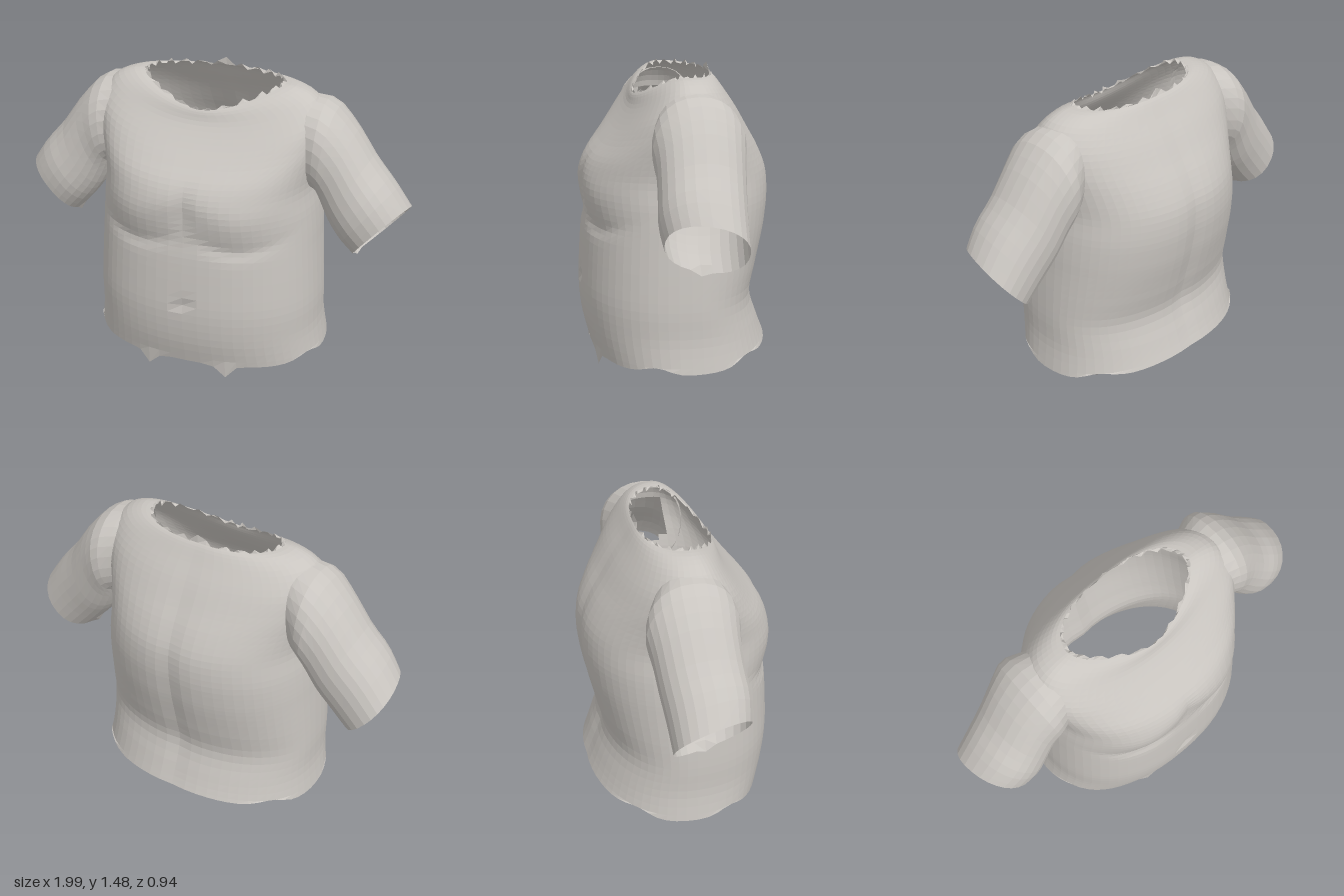
import * as THREE from 'three';

const SEG = 64;
const fabric = new THREE.MeshStandardMaterial({ color: 0xc9c5c0, flatShading: true, side: THREE.DoubleSide });
fabric.name = 'warm grey fabric';

// Smoothly interpolates a table of control rows at t in 0..1
function sampleRows(rows, t) {
  const f = t * (rows.length - 1);
  const i = Math.min(Math.floor(f), rows.length - 2);
  const u = f - i;
  const at = k => rows[Math.max(0, Math.min(rows.length - 1, k))];
  return rows[0].map((_, c) => {
    const [a, b, d, e] = [at(i - 1)[c], at(i)[c], at(i + 1)[c], at(i + 2)[c]];
    return b + 0.5 * u * (d - a + u * (2 * a - 5 * b + 4 * d - e + u * (3 * (b - d) + e - a)));
  });
}

// Joins closed rings into an open shell; skip() leaves holes
function loft(rings, flip, skip = () => false) {
  const n = rings[0].length;
  const index = [];
  for (let r = 0; r < rings.length - 1; r++) {
    for (let i = 0; i < n; i++) {
      const j = (i + 1) % n;
      if (skip(rings[r][i]) && skip(rings[r + 1][j])) continue;
      const a = r * n + i, b = r * n + j, c = a + n, d = b + n;
      index.push(...(flip ? [a, b, c, b, d, c] : [a, c, b, b, c, d]));
    }
  }
  const g = new THREE.BufferGeometry();
  g.setAttribute('position', new THREE.Float32BufferAttribute(rings.flat(2), 3));
  g.setIndex(index);
  g.computeVertexNormals();
  return g;
}

const bell = (v, centre, width) => Math.exp(-(((v - centre) / width) ** 2));
const round = (v, n) => Math.sign(v) * Math.abs(v) ** (2 / n);

// Torso rows: side y, front y, back y, half width, front z, back z, front squareness
const torsoRows = [
  [0.055, 0.06, 0.11, 0.605, 0.42, -0.465, 2.3],
  [0.20, 0.20, 0.20, 0.585, 0.455, -0.43, 2.3],
  [0.35, 0.35, 0.35, 0.583, 0.47, -0.385, 2.3],
  [0.50, 0.50, 0.50, 0.575, 0.465, -0.415, 2.3],
  [0.65, 0.65, 0.65, 0.565, 0.455, -0.45, 2.3],
  [0.74, 0.74, 0.74, 0.56, 0.445, -0.465, 2.3],
  [0.85, 0.85, 0.85, 0.55, 0.45, -0.475, 2.3],
  [0.97, 0.95, 0.97, 0.535, 0.45, -0.465, 2.3],
  [1.08, 1.03, 1.08, 0.55, 0.42, -0.42, 2.3],
  [1.20, 1.11, 1.18, 0.575, 0.35, -0.36, 2.3],
  [1.31, 1.19, 1.28, 0.575, 0.28, -0.30, 2.3],
  [1.40, 1.27, 1.36, 0.515, 0.22, -0.245, 2.1],
  [1.44, 1.32, 1.42, 0.425, 0.20, -0.205, 1.8],
  [1.445, 1.335, 1.44, 0.345, 0.19, -0.185, 1.55],
];

function torsoGeometry() {
  const rings = [];
  const count = 44;
  for (let r = 0; r <= count; r++) {
    const [ys, yf, yb, w, zf, zb, nf] = sampleRows(torsoRows, r / count);
    const ring = [];
    for (let i = 0; i < SEG; i++) {
      const a = (i / SEG) * Math.PI * 2;
      const c = Math.cos(a), s = Math.sin(a);
      const n = s > 0 ? nf : 2.25;
      const x = w * round(c, n);
      let y = ys * c * c + (s > 0 ? yf : yb) * s * s;
      let z = (s > 0 ? zf : -zb) * round(s, n);
      const ax = Math.abs(x);
      if (s > 0) {
        // Two chest lobes with curved lower edges, centre cleft and navel
        const edge = 0.73 + 0.08 * ((ax - 0.26) / 0.24) ** 2;
        const fall = bell(ax, 0.25, 0.18);
        z += 0.02 * fall * bell(y, edge + 0.14, 0.1);
        z -= 0.012 * fall * bell(y, edge - 0.02, 0.035);
        z -= 0.012 * bell(x, 0, 0.05) * bell(y, 0.9, 0.12);
        z -= 0.014 * bell(x, 0, 0.03) * bell(y, 0.41, 0.03);
      } else {
        // Spine groove
        z += 0.018 * bell(x, 0, 0.06) * bell(y, 0.7, 0.5);
      }
      if (r === 0) {
        // Uneven hem with two front points
        if (s > 0) y += 0.035 * bell(z, 0.17, 0.08) - 0.068 * bell(ax, 0.2, 0.04);
        else y += 0.035 * bell(z, -0.29, 0.07);
      }
      if (r === count) {
        // Ragged neckline with a small tab at the back
        y += 0.016 * Math.sin(i * 2.3) + (i === SEG * 0.75 ? 0.045 : 0);
        z += 0.008 * Math.sin(i * 1.9);
      }
      ring.push([x, y, z]);
    }
    rings.push(ring);
  }
  // Armholes are left open inside the sleeves
  const armhole = ([x, y, z]) => Math.abs(x) > 0.45 && y > 1.02 && y < 1.3 && Math.abs(z + 0.03) < 0.13;
  return loft(rings, false, armhole);
}

// Sleeve rows: top x, top y, bottom x, bottom y, front z, back z
const sleeveRows = [
  [0.45, 1.40, 0.50, 0.94, 0.16, -0.20],
  [0.59, 1.375, 0.545, 0.93, 0.19, -0.25],
  [0.71, 1.255, 0.57, 0.87, 0.18, -0.235],
  [0.81, 1.115, 0.615, 0.78, 0.185, -0.22],
  [0.91, 1.00, 0.68, 0.695, 0.195, -0.205],
  [0.99, 0.885, 0.755, 0.615, 0.18, -0.195],
];

function sleeveGeometry(side) {
  const rings = [];
  const count = 12, sides = 26;
  for (let r = 0; r <= count; r++) {
    const t = r / count;
    const [tx, ty, bx, by, zf, zb] = sampleRows(sleeveRows, t);
    const ring = [];
    for (let i = 0; i < sides; i++) {
      const a = (i / sides) * Math.PI * 2;
      const k = round(Math.cos(a), 2.2) / 2;
      const z = (zf + zb) / 2 + ((zf - zb) / 2) * round(Math.sin(a), 2.2);
      // The cuff is cut shorter at the front, with a small point below
      const slant = -0.16 * z * t ** 3;
      const tip = r === count && i === sides / 2 ? 0.02 : 0;
      const x = (tx + bx) / 2 + (tx - bx) * k + slant;
      const y = (ty + by) / 2 + (ty - by) * k - slant - tip;
      ring.push([side * x, y, z]);
    }
    rings.push(ring);
  }
  return loft(rings, side > 0);
}

export function createModel() {
  const group = new THREE.Group();
  group.name = 'shirt';
  const add = (geometry, name) => {
    const mesh = new THREE.Mesh(geometry, fabric);
    mesh.name = name;
    group.add(mesh);
  };
  add(torsoGeometry(), 'torso');
  add(sleeveGeometry(1), 'leftSleeve');
  add(sleeveGeometry(-1), 'rightSleeve');
  return group;
}
